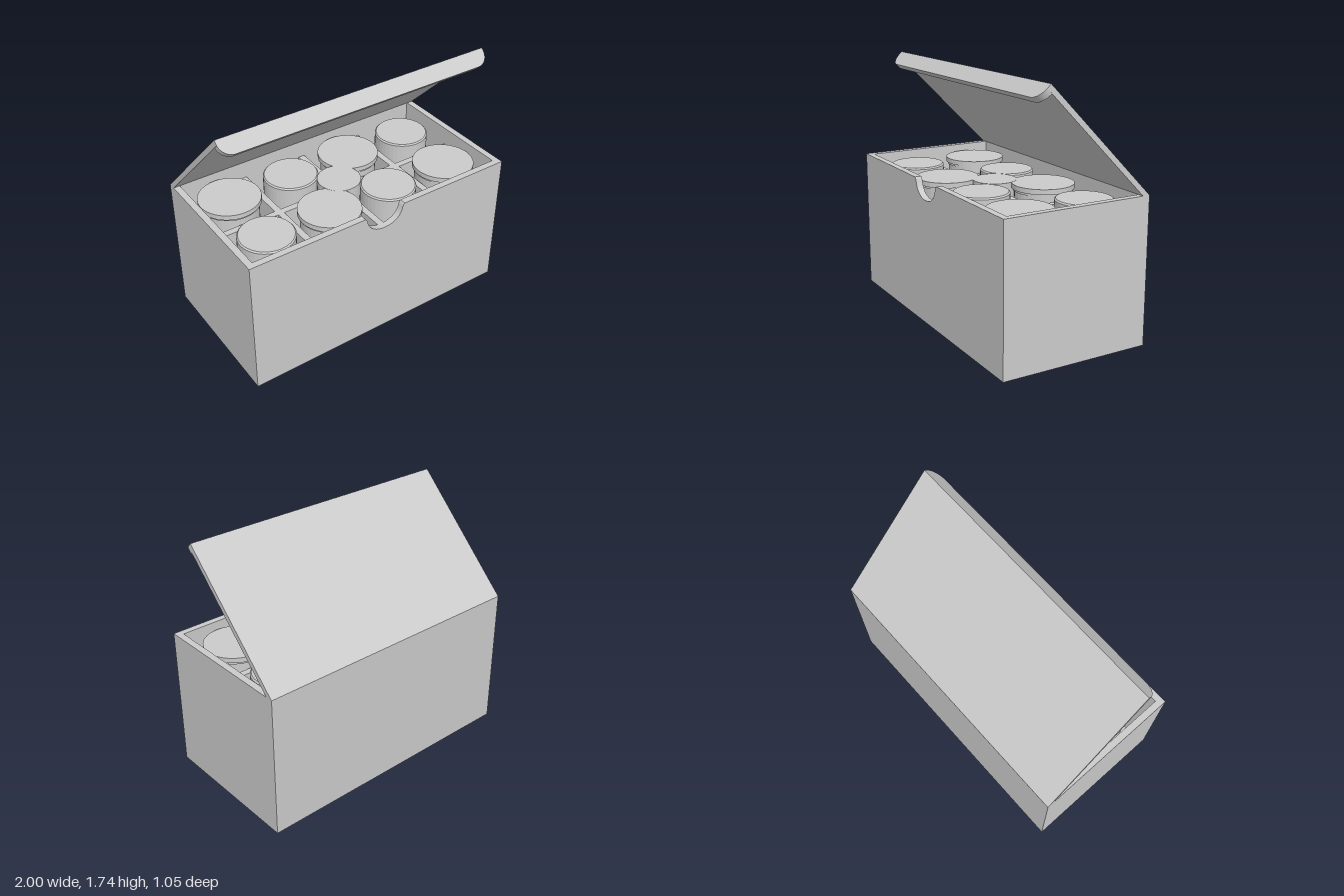
import * as THREE from 'three';

const grey = new THREE.MeshStandardMaterial({ color: 0xcccccc });
const W = 2, D = 1.046, H = 1, T = 0.046; // box width, depth, height, wall
const zf = D / 2;

export function createModel() {
  const root = new THREE.Group();

  const add = (name, geo, parent = root) => {
    const m = new THREE.Mesh(geo, grey);
    m.name = name;
    parent.add(m);
    return m;
  };
  const box = (name, w, h, d, x, y, z, parent) => {
    add(name, new THREE.BoxGeometry(w, h, d), parent).position.set(x, y, z);
  };
  const group = (name) => {
    const g = new THREE.Group();
    g.name = name;
    root.add(g);
    return g;
  };

  // Case: floor, back and sides
  const tub = group('case');
  box('floor', W - 2 * T, T, D - 2 * T, 0, T / 2, 0, tub);
  box('backWall', W, H, T, 0, H / 2, -zf + T / 2, tub);
  for (const s of [-1, 1]) {
    box(s > 0 ? 'leftWall' : 'rightWall', T, H, D - 2 * T, s * (W - T) / 2, H / 2, 0, tub);
  }

  // Front wall with the finger notch
  const front = new THREE.Shape();
  front.moveTo(-1, 0);
  front.lineTo(1, 0);
  front.lineTo(1, H);
  front.lineTo(0.155, H);
  front.quadraticCurveTo(0.143, 0.99, 0.138, 0.965);
  front.bezierCurveTo(0.12, 0.9, 0.065, 0.872, 0, 0.872);
  front.bezierCurveTo(-0.065, 0.872, -0.12, 0.9, -0.138, 0.965);
  front.quadraticCurveTo(-0.143, 0.99, -0.155, H);
  front.lineTo(-1, H);
  add('frontWall', new THREE.ExtrudeGeometry(front, { depth: T, bevelEnabled: false, curveSegments: 8 }), tub)
    .position.z = zf - T;

  // Dividers making two rows of four cells
  const dividers = group('dividers');
  const dh = 0.872 - T, dy = T + dh / 2;
  box('longDivider', W - 2 * T, dh, T, 0, dy, 0, dividers);
  for (const x of [-0.476, 0, 0.476]) {
    for (const s of [-1, 1]) {
      box('crossDivider', T, dh, zf - 1.5 * T, x, dy, s * (zf - T / 2) / 2, dividers);
    }
  }
  // Round post where the central dividers meet
  add('centrePost', new THREE.CylinderGeometry(0.15, 0.15, 0.91, 32), dividers).position.y = T + 0.455;

  // Jars: capped and plain ones alternate
  const lathe = (pts) => new THREE.LatheGeometry(pts.map(([r, y]) => new THREE.Vector2(r, y)), 40);
  const flat = (g) => { // crisp edges between the rings of the profile
    const n = g.toNonIndexed();
    n.computeVertexNormals();
    return n;
  };
  const cappedGeo = flat(lathe([[0, T], [0.195, T], [0.195, 0.905], [0.203, 0.905], [0.203, 0.92],
    [0.213, 0.92], [0.213, 0.955], [0, 0.955]]));
  const plainGeo = flat(lathe([[0, T], [0.19, T], [0.19, 0.945], [0.181, 0.955], [0, 0.955]]));
  const jars = group('jars');
  [-0.714, -0.238, 0.238, 0.714].forEach((x, i) => {
    [0.238, -0.238].forEach((z, j) => {
      const capped = (i + j) % 2 === 1;
      add(capped ? 'cappedJar' : 'plainJar', capped ? cappedGeo : plainGeo, jars).position.set(x, 0, z);
    });
  });

  // Lid panel, open at 45 degrees on the back edge
  const lid = group('lid');
  const apexZ = 0.217, apexY = 1.74, t = 0.05;
  const panel = new THREE.Shape([
    new THREE.Vector2(-zf, H), new THREE.Vector2(-zf + t, H),
    new THREE.Vector2(apexZ + t / 2, apexY - t / 2), new THREE.Vector2(apexZ, apexY),
  ]);
  const panelMesh = add('lidPanel', new THREE.ExtrudeGeometry(panel, { depth: W, bevelEnabled: false }), lid);
  panelMesh.rotation.y = -Math.PI / 2;
  panelMesh.position.x = 1;

  // Front lip of the lid with rounded lower corners
  const L = 0.115, r = 0.09;
  const lip = new THREE.Shape();
  lip.moveTo(-1, 0);
  lip.lineTo(-1, -L + r);
  lip.absarc(-1 + r, -L + r, r, Math.PI, 1.5 * Math.PI);
  lip.absarc(1 - r, -L + r, r, 1.5 * Math.PI, 2 * Math.PI);
  lip.lineTo(1, 0);
  const lipGeo = new THREE.ExtrudeGeometry(lip, { depth: T, bevelEnabled: false, curveSegments: 8 });
  lipGeo.translate(0, 0, -T);
  const lipMesh = add('lidLip', lipGeo, lid);
  lipMesh.rotation.x = -Math.PI / 4;
  lipMesh.position.set(0, apexY, apexZ);

  return root;
}
